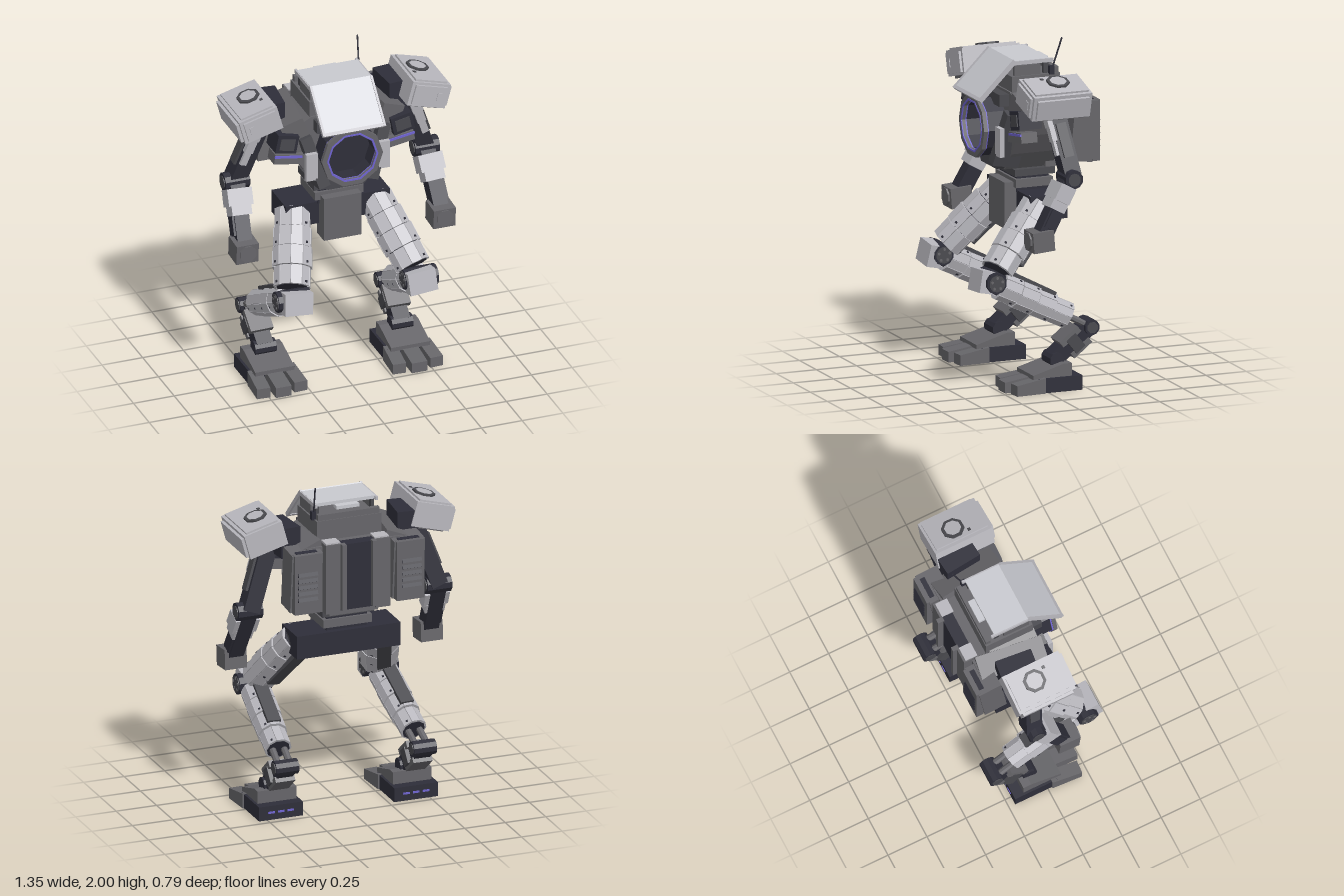
import * as THREE from 'three';

const mat = (name, color) => Object.assign(new THREE.MeshStandardMaterial({ color }), { name });
const LIGHT = mat('light grey armour', 0xb8b7bd);
const CANOPY = mat('pale canopy', 0xc8c9cf);
const MID = mat('mid grey frame', 0x666569);
const CHAR = mat('charcoal', 0x49494e);
const DARK = mat('dark navy metal', 0x2e2e39);
const GLOW = mat('violet light', 0x6f64d0);
for (const m of [LIGHT, CANOPY, MID, CHAR, DARK, GLOW]) m.flatShading = true;

function add(parent, name, geo, m, p, r = [0, 0, 0]) {
  const mesh = new THREE.Mesh(geo, m);
  mesh.name = name;
  mesh.position.set(...p);
  mesh.rotation.set(...r);
  parent.add(mesh);
  return mesh;
}
const box = (parent, name, m, size, p, r) => add(parent, name, new THREE.BoxGeometry(...size), m, p, r);

// prism with its axis along x, y or z
function prism(parent, name, m, r, len, sides, axis, p) {
  const geo = new THREE.CylinderGeometry(r, r, len, sides).rotateY(Math.PI / sides);
  if (axis === 'x') geo.rotateZ(Math.PI / 2);
  if (axis === 'z') geo.rotateX(Math.PI / 2);
  return add(parent, name, geo, m, p);
}

// outline extruded along z between z0 and z1
function slab(parent, name, m, pts, z0, z1, hole) {
  const shape = new THREE.Shape(pts.map(([x, y]) => new THREE.Vector2(x, y)));
  if (hole) shape.holes.push(new THREE.Path(hole.map(([x, y]) => new THREE.Vector2(x, y))));
  return add(parent, name, new THREE.ExtrudeGeometry(shape, { depth: z1 - z0, bevelEnabled: false }), m, [0, 0, z0]);
}
const mirrored = pts => [...pts, ...pts.slice().reverse().map(([x, y]) => [-x, y])];
const bayOutline = r => Array.from({ length: 10 }, (_, i) => {
  const a = ((i + 0.5) / 10) * Math.PI * 2 + Math.PI / 2;
  return [Math.cos(a) * r, 1.478 + Math.sin(a) * r];
});

// group at a whose +y runs towards b and whose x stays sideways
function limb(parent, name, a, b) {
  const g = new THREE.Group();
  g.name = name;
  const A = new THREE.Vector3(...a), y = new THREE.Vector3(...b).sub(A);
  const len = y.length();
  y.normalize();
  const z = new THREE.Vector3(1, 0, 0).cross(y).normalize();
  const x = new THREE.Vector3().crossVectors(y, z);
  g.quaternion.setFromRotationMatrix(new THREE.Matrix4().makeBasis(x, y, z));
  g.position.copy(A);
  parent.add(g);
  return [g, len];
}

// rings of armour plates around a dark core
function platedSleeve(g, name, radii, start, end) {
  const n = 10, h = (end - start) / radii.length;
  prism(g, name + 'Core', DARK, Math.min(...radii) * 0.9, end - start, n, 'y', [0, (start + end) / 2, 0]);
  radii.forEach((r, k) => {
    const y = start + h * (k + 0.5), w = 2 * r * Math.tan(Math.PI / n) * 0.93;
    for (let i = 0; i < n; i++) {
      const a = (i / n) * Math.PI * 2;
      box(g, name + 'Plate', LIGHT, [w, h * 0.96, 0.018], [Math.sin(a) * (r - 0.009), y, Math.cos(a) * (r - 0.009)], [0.04, a, 0]);
      if (i % 3 === 1) box(g, name + 'Stud', DARK, [0.012, 0.012, 0.008], [Math.sin(a) * r, y + h * 0.3, Math.cos(a) * r], [0, a, 0]);
    }
  });
}

function buildTorso(g) {
  slab(g, 'chestHull', MID, mirrored([[0.12, 1.23], [0.22, 1.34], [0.3, 1.46], [0.35, 1.57], [0.31, 1.64], [0.19, 1.7]]), -0.2, 0.09);
  box(g, 'upperBack', MID, [0.6, 0.3, 0.16], [0, 1.52, -0.23]);
  box(g, 'lowerBack', MID, [0.3, 0.2, 0.14], [0, 1.33, -0.22]);
  slab(g, 'chestJaw', CHAR, mirrored([[0.11, 1.235], [0.17, 1.3], [0.1, 1.335]]), 0.05, 0.14);

  // round bay at the front
  slab(g, 'bayTunnel', DARK, bayOutline(0.178), 0.1, 0.215, bayOutline(0.15));
  slab(g, 'bayOuterLight', GLOW, bayOutline(0.183), 0.215, 0.223, bayOutline(0.15));
  slab(g, 'bayRing', MID, bayOutline(0.187), 0.223, 0.247, bayOutline(0.15));
  slab(g, 'bayRimLight', GLOW, bayOutline(0.157), 0.244, 0.25, bayOutline(0.146));
  slab(g, 'bayFloor', DARK, bayOutline(0.152), 0.085, 0.125);

  // spine panel on the back
  box(g, 'spinePanel', DARK, [0.22, 0.4, 0.07], [0, 1.48, -0.315]);
  for (const s of [-1, 1]) {
    box(g, 'spineRail', MID, [0.09, 0.42, 0.09], [s * 0.155, 1.48, -0.315]);
    box(g, 'spineRailCap', LIGHT, [0.088, 0.008, 0.075], [s * 0.15, 1.694, -0.31]);
    box(g, 'spineRod', MID, [0.028, 0.4, 0.04], [s * 0.095, 1.49, -0.365]);
  }

  // waist and pelvis
  box(g, 'waistCollar', CHAR, [0.32, 0.04, 0.25], [0, 1.21, -0.08]);
  box(g, 'waistCore', DARK, [0.25, 0.14, 0.2], [0, 1.16, -0.08]);
  box(g, 'waistRing', MID, [0.3, 0.05, 0.23], [0, 1.145, -0.08]);
  box(g, 'pelvis', DARK, [0.64, 0.14, 0.23], [0, 1.03, -0.1]);
  slab(g, 'pelvisGuard', MID, [[-0.115, 0.88], [0.115, 0.88], [0.115, 1.15], [-0.115, 1.15]], -0.02, 0.09);
}

function buildHead(g) {
  box(g, 'headBody', MID, [0.4, 0.2, 0.3], [0, 1.69, -0.07]);
  box(g, 'headRearWall', MID, [0.38, 0.05, 0.03], [0, 1.8, -0.2]);
  box(g, 'headChin', CHAR, [0.36, 0.07, 0.1], [0, 1.65, 0.1]);
  box(g, 'canopyRoof', CANOPY, [0.37, 0.02, 0.22], [0, 1.868, -0.05]);
  box(g, 'canopyWindow', CANOPY, [0.37, 0.31, 0.014], [0, 1.768, 0.165], [-Math.PI / 4, 0, 0]);
  box(g, 'canopyLip', LIGHT, [0.38, 0.02, 0.02], [0, 1.664, 0.268], [-Math.PI / 4, 0, 0]);
  box(g, 'roofHatch', CANOPY, [0.14, 0.02, 0.05], [0, 1.85, -0.175]);
  for (const s of [-1, 1]) {
    box(g, 'canopyEdge', LIGHT, [0.014, 0.31, 0.024], [s * 0.186, 1.768, 0.165], [-Math.PI / 4, 0, 0]);
    box(g, 'canopyRail', LIGHT, [0.014, 0.022, 0.24], [s * 0.186, 1.866, -0.06]);
    box(g, 'canopyPost', CHAR, [0.02, 0.09, 0.03], [s * 0.17, 1.82, -0.14]);
    box(g, 'headCheek', MID, [0.02, 0.1, 0.16], [s * 0.18, 1.8, -0.02]);
  }
  box(g, 'antennaBase', DARK, [0.025, 0.05, 0.03], [0.2, 1.81, -0.165]);
  const [a, len] = limb(g, 'antenna', [0.2, 1.82, -0.17], [0.212, 1.998, -0.225]);
  prism(a, 'antennaRod', DARK, 0.005, len, 6, 'y', [0, len / 2, 0]);
}

function buildUpperSide(g, s) {
  // chest armour
  box(g, 'chestBrace', CHAR, [0.07, 0.33, 0.16], [s * 0.195, 1.425, 0.085], [-0.17, 0, -s * 0.3]);
  box(g, 'chestVent', DARK, [0.13, 0.11, 0.14], [s * 0.355, 1.57, 0.06], [0, 0, s * 0.2]);
  box(g, 'chestVentPanel', CHAR, [0.09, 0.07, 0.008], [s * 0.355, 1.57, 0.132], [0, 0, s * 0.2]);
  box(g, 'chestLightHousing', MID, [0.2, 0.06, 0.1], [s * 0.33, 1.465, 0.07], [0, 0, s * 0.16]);
  box(g, 'chestLight', GLOW, [0.17, 0.014, 0.008], [s * 0.345, 1.485, 0.123], [0, 0, s * 0.16]);
  box(g, 'chestSidePlate', LIGHT, [0.07, 0.17, 0.03], [s * 0.222, 1.42, 0.165]);
  box(g, 'shoulderMount', DARK, [0.12, 0.18, 0.22], [s * 0.37, 1.685, -0.11], [0, s * 0.1, 0]);
  box(g, 'shoulderBracket', MID, [0.14, 0.14, 0.4], [s * 0.27, 1.62, -0.1], [0, s * 0.12, -s * 0.35]);

  // backpack pod with louvres
  const pod = new THREE.Group();
  pod.name = 'backpackPod';
  pod.position.set(s * 0.315, 1.485, -0.28);
  pod.rotation.x = -0.1;
  g.add(pod);
  box(pod, 'podBody', MID, [0.19, 0.36, 0.14], [0, 0, 0]);
  box(pod, 'podTopSlot', DARK, [0.13, 0.008, 0.03], [0, 0.18, -0.04]);
  box(g, 'podPanel', MID, [0.17, 0.36, 0.045], [s * 0.315, 1.48, -0.36]);
  for (let i = 0; i < 5; i++) box(g, 'podLouvre', DARK, [0.12, 0.022, 0.016], [s * 0.32, 1.54 - i * 0.038, -0.382], [0.4, 0, 0]);

  // shoulder pad
  const pad = new THREE.Group();
  pad.name = 'shoulderPad';
  pad.position.set(s * 0.515, 1.725, -0.05);
  pad.rotation.z = -s * 0.27;
  g.add(pad);
  box(pad, 'padShell', LIGHT, [0.24, 0.15, 0.36], [0, 0, 0]);
  box(pad, 'padCap', LIGHT, [0.2, 0.02, 0.33], [0, 0.076, 0]);
  box(pad, 'padOuterPlate', LIGHT, [0.03, 0.12, 0.32], [s * 0.122, -0.005, 0]);
  box(pad, 'padFrontPlate', LIGHT, [0.2, 0.12, 0.02], [0, 0, 0.184]);
  box(pad, 'padFrontLatch', LIGHT, [0.03, 0.05, 0.008], [s * 0.06, 0, 0.194]);
  box(pad, 'padInnerPlate', MID, [0.2, 0.02, 0.3], [0, -0.08, 0]);
  prism(pad, 'padHatchRim', CHAR, 0.068, 0.024, 8, 'y', [-s * 0.02, 0.085, -0.02]);
  prism(pad, 'padHatch', LIGHT, 0.05, 0.028, 8, 'y', [-s * 0.02, 0.085, -0.02]);
  box(pad, 'padStud', CHAR, [0.018, 0.01, 0.018], [-s * 0.07, 0.085, 0.06]);

  // arm
  const [ua, ul] = limb(g, 'upperArm', [s * 0.445, 1.65, -0.06], [s * 0.582, 1.265, -0.115]);
  box(ua, 'upperArmBeam', DARK, [0.1, ul, 0.1], [0, ul / 2, 0.01]);
  for (let i = 0; i < 3; i++) box(ua, 'upperArmPlate', LIGHT, [0.065 - i * 0.012, 0.095, 0.03], [s * 0.026, 0.06 + i * 0.085, -0.05 + i * 0.004]);
  box(ua, 'upperArmSidePlate', CHAR, [0.02, 0.2, 0.06], [s * 0.055, 0.2, 0.01]);
  prism(g, 'elbow', DARK, 0.055, 0.15, 10, 'x', [s * 0.583, 1.265, -0.115]);
  prism(g, 'elbowCap', CHAR, 0.038, 0.16, 10, 'x', [s * 0.583, 1.265, -0.115]);
  const [fa, fl] = limb(g, 'forearm', [s * 0.583, 1.265, -0.115], [s * 0.603, 0.95, 0.06]);
  box(fa, 'forearmBeam', DARK, [0.09, fl, 0.09], [0, fl / 2, 0]);
  box(fa, 'forearmGuard', LIGHT, [0.15, 0.1, 0.1], [0, 0.1, -0.012]);
  box(fa, 'forearmCuff', LIGHT, [0.12, 0.07, 0.1], [0, 0.17, -0.01]);
  box(fa, 'forearmSide', DARK, [0.015, 0.16, 0.07], [s * 0.05, 0.24, 0]);
  box(g, 'hand', MID, [0.135, 0.12, 0.13], [s * 0.605, 0.92, 0.08], [0.08, 0, 0]);
  prism(g, 'handDisc', MID, 0.052, 0.02, 8, 'z', [s * 0.605, 0.92, 0.148]);
}

function buildLeg(g, s) {
  const knee = [s * 0.39, 0.655, 0.295], heel = [s * 0.425, 0.345, -0.295], ankle = [s * 0.42, 0.17, -0.08];
  prism(g, 'hip', CHAR, 0.065, 0.16, 10, 'x', [s * 0.24, 1.01, -0.05]);
  const [th, tl] = limb(g, 'thigh', [s * 0.25, 1.035, -0.06], knee);
  th.scale.x = 1.14;
  platedSleeve(th, 'thigh', [0.09, 0.096, 0.1, 0.092], 0, tl - 0.07);
  box(th, 'thighRearStrip', CHAR, [0.07, 0.32, 0.03], [0, 0.2, 0.098]);

  // knee with bolted caps
  prism(g, 'kneeJoint', DARK, 0.062, 0.2, 10, 'x', knee);
  prism(g, 'kneeCap', CHAR, 0.05, 0.21, 10, 'x', knee);
  for (let i = 0; i < 5; i++) {
    const a = (i / 5) * Math.PI * 2;
    prism(g, 'kneeBolt', MID, 0.009, 0.216, 6, 'x', [knee[0], knee[1] + Math.cos(a) * 0.034, knee[2] + Math.sin(a) * 0.034]);
  }
  box(g, 'kneeGuard', LIGHT, [0.17, 0.13, 0.08], [s * 0.38, 0.655, 0.345], [-0.2, 0, s * 0.08]);

  // shin with exposed rods towards the heel joint
  const [sh, sl] = limb(g, 'shin', knee, heel);
  platedSleeve(sh, 'shin', [0.086, 0.088, 0.084, 0.076], 0.06, sl - 0.14);
  box(sh, 'shinTopStrip', CHAR, [0.08, 0.3, 0.025], [0, 0.24, 0.085]);
  for (const k of [-1, 1]) prism(sh, 'shinRod', MID, 0.02, 0.2, 8, 'y', [k * 0.035, sl - 0.1, 0]);
  prism(g, 'heelJoint', DARK, 0.046, 0.14, 10, 'x', heel);
  prism(g, 'heelCap', CHAR, 0.034, 0.15, 8, 'x', heel);

  const [lo, ll] = limb(g, 'lowerLeg', heel, ankle);
  box(lo, 'lowerLegBeam', DARK, [0.1, ll, 0.09], [0, ll / 2, 0]);
  box(lo, 'lowerLegFront', MID, [0.14, 0.14, 0.04], [0, 0.13, -0.052]);
  box(lo, 'lowerLegRear', MID, [0.12, 0.14, 0.035], [0, 0.12, 0.052]);
  box(lo, 'lowerLegBand', CHAR, [0.15, 0.07, 0.1], [0, 0.13, 0]);
  prism(g, 'ankleJoint', DARK, 0.045, 0.13, 10, 'x', ankle);

  // foot, its wedge and toes drawn from the side then turned to run across
  const foot = new THREE.Group();
  foot.name = 'foot';
  foot.position.x = s * 0.417;
  g.add(foot);
  box(foot, 'sole', DARK, [0.27, 0.085, 0.27], [0, 0.0425, -0.075]);
  const wedge = slab(foot, 'instep', MID, [[-0.09, 0.08], [0.15, 0.08], [0.15, 0.16], [0.1, 0.16], [-0.09, 0.105]], 0, 0.24);
  wedge.rotation.y = Math.PI / 2;
  wedge.position.set(-0.12, 0, 0);
  for (const k of [-1, 0, 1]) {
    const w = k ? 0.08 : 0.095;
    const toe = slab(foot, 'toe', MID, [[-0.235, 0], [-0.05, 0], [-0.05, 0.09], [-0.235, 0.062]], 0, w);
    toe.rotation.set(0, Math.PI / 2 + k * 0.06, 0);
    toe.position.set(k * 0.101 - w / 2, 0, k ? -0.025 : 0);
    box(foot, 'heelLight', GLOW, [0.04, 0.012, 0.006], [k * 0.06, 0.045, -0.211]);
  }
}

export function createModel() {
  const model = new THREE.Group();
  model.name = 'walkerRobot';
  const part = (name, build, s) => {
    const g = new THREE.Group();
    g.name = name;
    build(g, s);
    model.add(g);
  };
  part('torso', buildTorso);
  part('head', buildHead);
  for (const s of [1, -1]) {
    const side = s > 0 ? 'left' : 'right';
    part(side + 'ShoulderAndArm', buildUpperSide, s);
    part(side + 'Leg', buildLeg, s);
  }
  return model;
}
